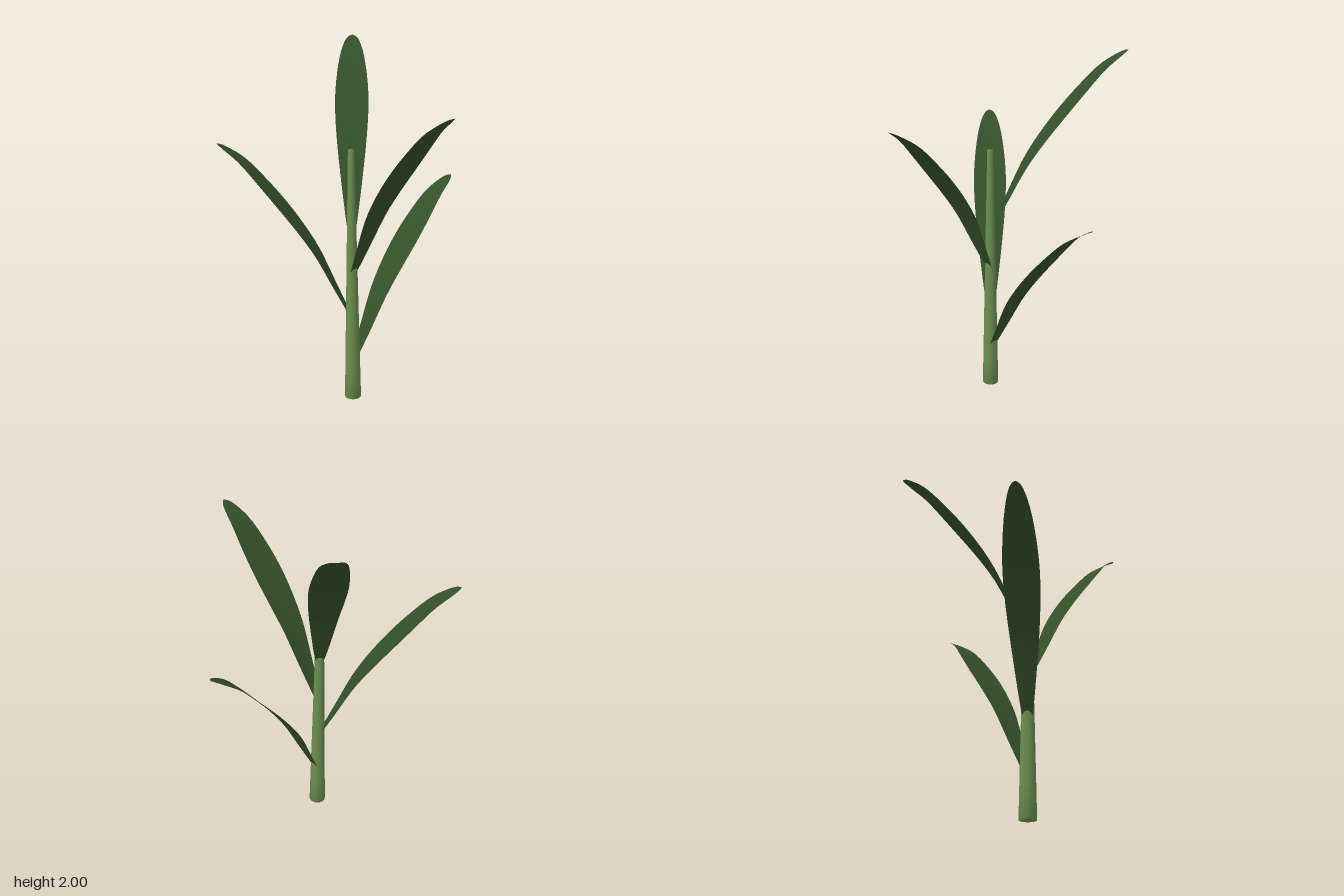
import * as THREE from 'three';

const stemMat = new THREE.MeshStandardMaterial({ name: 'stemGreen', color: 0x6b8e4e });
const leafMat = new THREE.MeshStandardMaterial({ name: 'leafGreen', color: 0x34502a, side: THREE.DoubleSide });

// Leaf midline and outline: [distance from stem axis, height, half width]
const PROFILE = [
  [0, 0, 0.02], [0.04, 0.08, 0.033], [0.1, 0.2, 0.05], [0.2, 0.4, 0.075],
  [0.3, 0.55, 0.09], [0.4, 0.68, 0.095], [0.5, 0.8, 0.086], [0.6, 0.91, 0.066],
  [0.68, 0.97, 0.042], [0.715, 0.993, 0.022], [0.73, 1.0, 0.003],
];

// Curved blade with a very shallow channel along the midrib
function leafGeometry() {
  const mid = new THREE.CatmullRomCurve3(PROFILE.map(p => new THREE.Vector3(...p)), false, 'centripetal');
  const rows = 28, cols = 4;
  const geo = new THREE.PlaneGeometry(1, 1, cols, rows);
  const pos = geo.attributes.position;
  for (let i = 0; i <= rows; i++) {
    const p = mid.getPoint(i / rows);
    for (let j = 0; j <= cols; j++) {
      const s = (j / cols) * 2 - 1;
      const lift = 0.05 * p.z * s * s;
      pos.setXYZ(i * (cols + 1) + j, p.x - lift * 0.8, p.y + lift * 0.6, s * p.z);
    }
  }
  geo.computeVertexNormals();
  return geo;
}

// Tapered stem with softly shaded ends
function stemGeometry() {
  const height = 1.475, rings = 9;
  const pts = [new THREE.Vector2(0, 0)];
  for (let i = 0; i <= rings; i++) {
    const t = i / rings;
    pts.push(new THREE.Vector2(THREE.MathUtils.lerp(0.047, 0.017, t), t * height));
  }
  pts.push(new THREE.Vector2(0, height));
  return new THREE.LatheGeometry(pts, 14);
}

export function createModel() {
  const plant = new THREE.Group();
  plant.name = 'plant';

  const stem = new THREE.Mesh(stemGeometry(), stemMat);
  stem.name = 'stem';
  stem.position.set(-0.098, 0, -0.073);
  plant.add(stem);

  // Leaves climb the stem in a golden-angle spiral
  const blade = leafGeometry();
  [0.22, 0.49, 0.745, 1.0].forEach((y, i) => {
    const leaf = new THREE.Mesh(blade, leafMat);
    leaf.name = `leaf${i + 1}`;
    leaf.position.set(-0.098, y, -0.073);
    leaf.rotation.y = THREE.MathUtils.degToRad(0.8 + i * 137.5 - (i === 1 ? 1 : 0));
    plant.add(leaf);
  });

  return plant;
}
